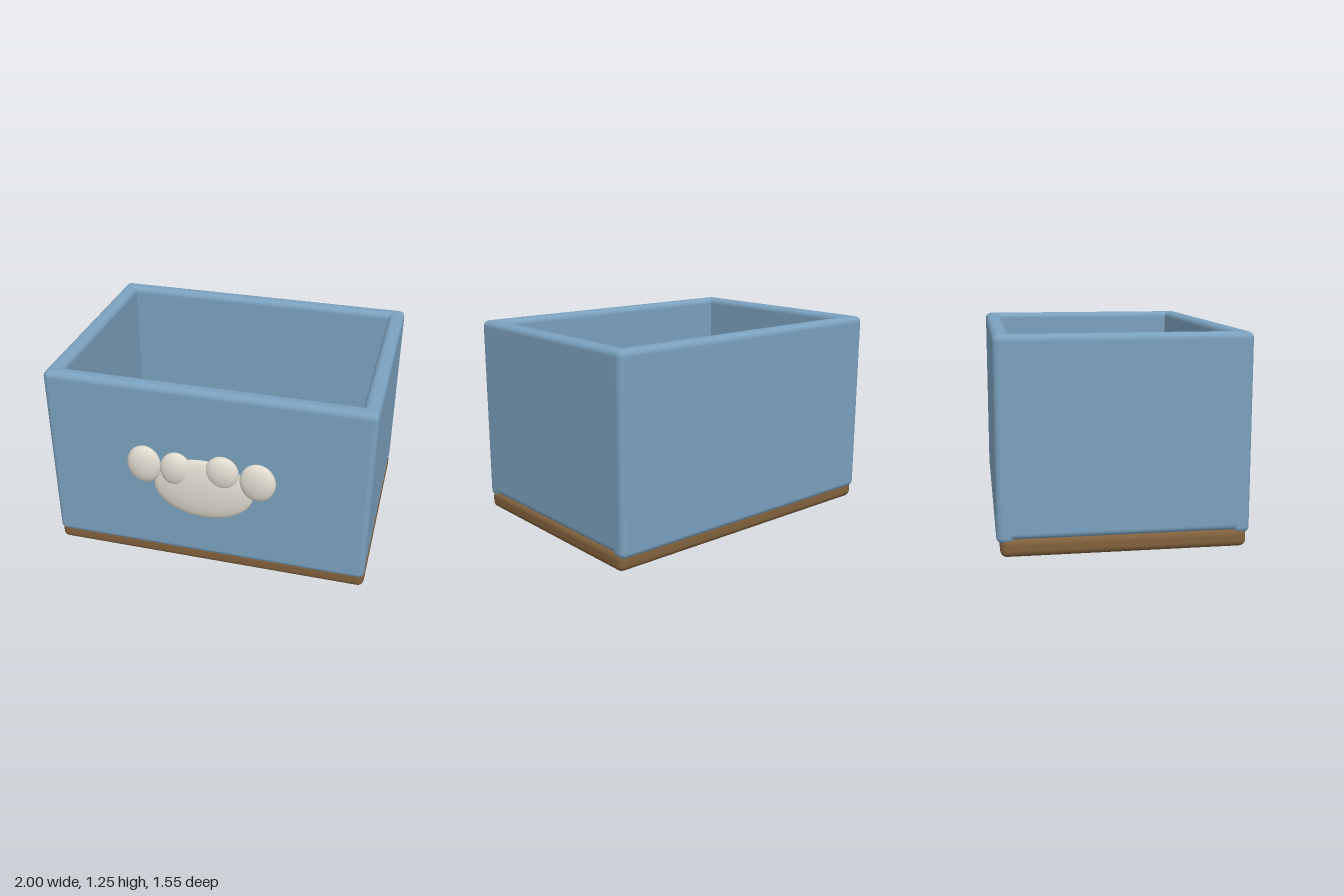
import * as THREE from 'three';
import { RoundedBoxGeometry } from 'three/addons/geometries/RoundedBoxGeometry.js';

const material = (color) => new THREE.MeshStandardMaterial({ color });

export function createModel() {
  const model = new THREE.Group();
  model.name = 'toyBox';
  const blue = material(0x7ba1be);
  const brown = material(0x80603c);
  const clay = material(0xc67b52);
  const cream = material(0xe0dccf);

  const add = (name, geometry, mat, x, y, z, parent = model) => {
    const mesh = new THREE.Mesh(geometry, mat);
    mesh.name = name;
    mesh.position.set(x, y, z);
    parent.add(mesh);
    return mesh;
  };
  // rounded slab given by its extents
  const slab = (name, mat, [x0, x1], [y0, y1], [z0, z1], r) =>
    add(name, new RoundedBoxGeometry(x1 - x0, y1 - y0, z1 - z0, 4, r), mat,
      (x0 + x1) / 2, (y0 + y1) / 2, (z0 + z1) / 2);

  // base and four walls
  slab('base', brown, [-1, 1], [0, 0.11], [-0.757, 0.665], 0.04);
  slab('frontWall', blue, [-1, 1], [0.08, 1.25], [0.58, 0.683], 0.038);
  slab('backWall', blue, [-1, 1], [0.08, 1.25], [-0.777, -0.675], 0.038);
  slab('leftWall', blue, [0.9, 1], [0.1, 1.25], [-0.777, 0.683], 0.038);
  slab('rightWall', blue, [-1, -0.9], [0.1, 1.25], [-0.777, 0.683], 0.038);

  // paw emblem: one wide pad and four toes, all flattened spheres
  const paw = new THREE.Group();
  paw.name = 'paw';
  model.add(paw);
  const ball = new THREE.SphereGeometry(1, 32, 20);
  const pad = add('pawPad', ball, cream, 0, 0.605, 0.716, paw);
  pad.scale.set(0.31, 0.206, 0.046);
  [
    [-0.365, 0.735, 0.106, 0.126, 0],
    [-0.168, 0.732, 0.095, 0.113, -0.15],
    [0.122, 0.752, 0.102, 0.11, 0.2],
    [0.338, 0.718, 0.11, 0.126, 0],
  ].forEach(([x, y, rx, ry, tilt], i) => {
    const toe = add(`toe${i + 1}`, ball, cream, x, y, 0.727, paw);
    toe.scale.set(rx, ry, 0.047);
    toe.rotation.z = tilt;
  });

  // two knobbed rods lying on the floor, running the length of the box
  const knobProfile = [[0, -0.105], [0.055, -0.105], [0.085, -0.075], [0.101, -0.035], [0.105, 0],
    [0.101, 0.035], [0.085, 0.075], [0.055, 0.105], [0, 0.105]].map(([r, h]) => new THREE.Vector2(r, h));
  const knob = new THREE.LatheGeometry(knobProfile, 16).rotateZ(Math.PI / 2);
  const bar = new THREE.CylinderGeometry(0.055, 0.055, 1.64, 16).rotateZ(Math.PI / 2);
  for (const z of [-0.407, 0.307]) {
    const rod = new THREE.Group();
    rod.name = z > 0 ? 'frontRod' : 'backRod';
    rod.position.set(0, 0.21, z);
    model.add(rod);
    add('bar', bar, clay, 0, 0, 0, rod);
    for (const side of [-1, 1])
      for (const x of [0.205, 0.4, 0.815]) add('knob', knob, clay, side * x, 0, 0, rod);
  }

  return model;
}
